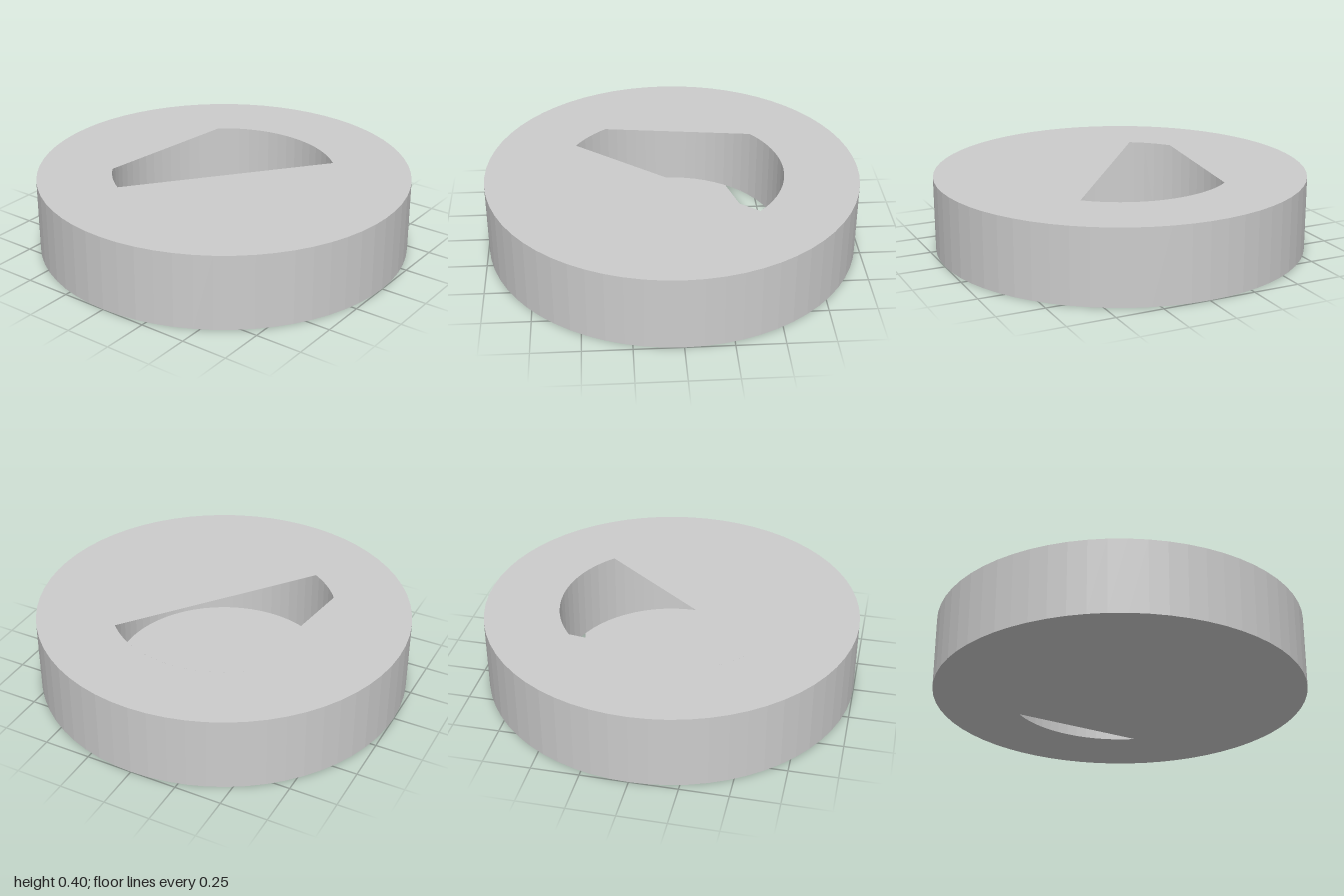
import * as THREE from 'three';

const OUTER = 1, INNER = 0.6, HEIGHT = 0.4, SIDES = 64;

const material = new THREE.MeshStandardMaterial({
  color: 0xcccccc, flatShading: true, side: THREE.DoubleSide,
});

function addPart(group, name, geometry, y) {
  const mesh = new THREE.Mesh(geometry, material);
  mesh.name = name;
  mesh.position.y = y;
  group.add(mesh);
}

// Open tube standing on the ground; an inward one shows its inside.
function wall(radius, inward) {
  const g = new THREE.CylinderGeometry(radius, radius, HEIGHT, SIDES, 1, true);
  if (inward) {
    g.index.array.reverse();
    g.computeVertexNormals();
  }
  return g;
}

// Thin disc with one opening, bounded by arcs of the inner circle that are
// joined by straight chords. Angles are in degrees from +x towards +z.
function plate(arcs, facesUp) {
  const sign = facesUp ? -1 : 1;
  const point = (radius, angle) =>
    new THREE.Vector2(radius * Math.cos(angle), sign * radius * Math.sin(angle));
  const rim = [];
  for (let i = 0; i < SIDES; i++) rim.push(point(OUTER, (i / SIDES) * Math.PI * 2));
  const opening = [];
  for (const [start, end] of arcs) {
    const steps = Math.ceil((end - start) / 4);
    for (let i = 0; i <= steps; i++) {
      opening.push(point(INNER, THREE.MathUtils.degToRad(start + ((end - start) * i) / steps)));
    }
  }
  const shape = new THREE.Shape(rim);
  shape.holes.push(new THREE.Path(opening));
  return new THREE.ShapeGeometry(shape).rotateX((sign * Math.PI) / 2);
}

export function createModel() {
  const model = new THREE.Group();
  model.name = 'hollowDisc';

  // Outer rim and the round chamber inside it
  addPart(model, 'outerWall', wall(OUTER, false), HEIGHT / 2);
  addPart(model, 'chamberWall', wall(INNER, true), HEIGHT / 2);

  // Top with a wide tapered slot, floor with a slim segment opening
  addPart(model, 'topPlate', plate([[-39.6, 44.7], [211, 234.5]], true), HEIGHT);
  addPart(model, 'floorPlate', plate([[-55, 21.6]], false), 0);

  return model;
}
